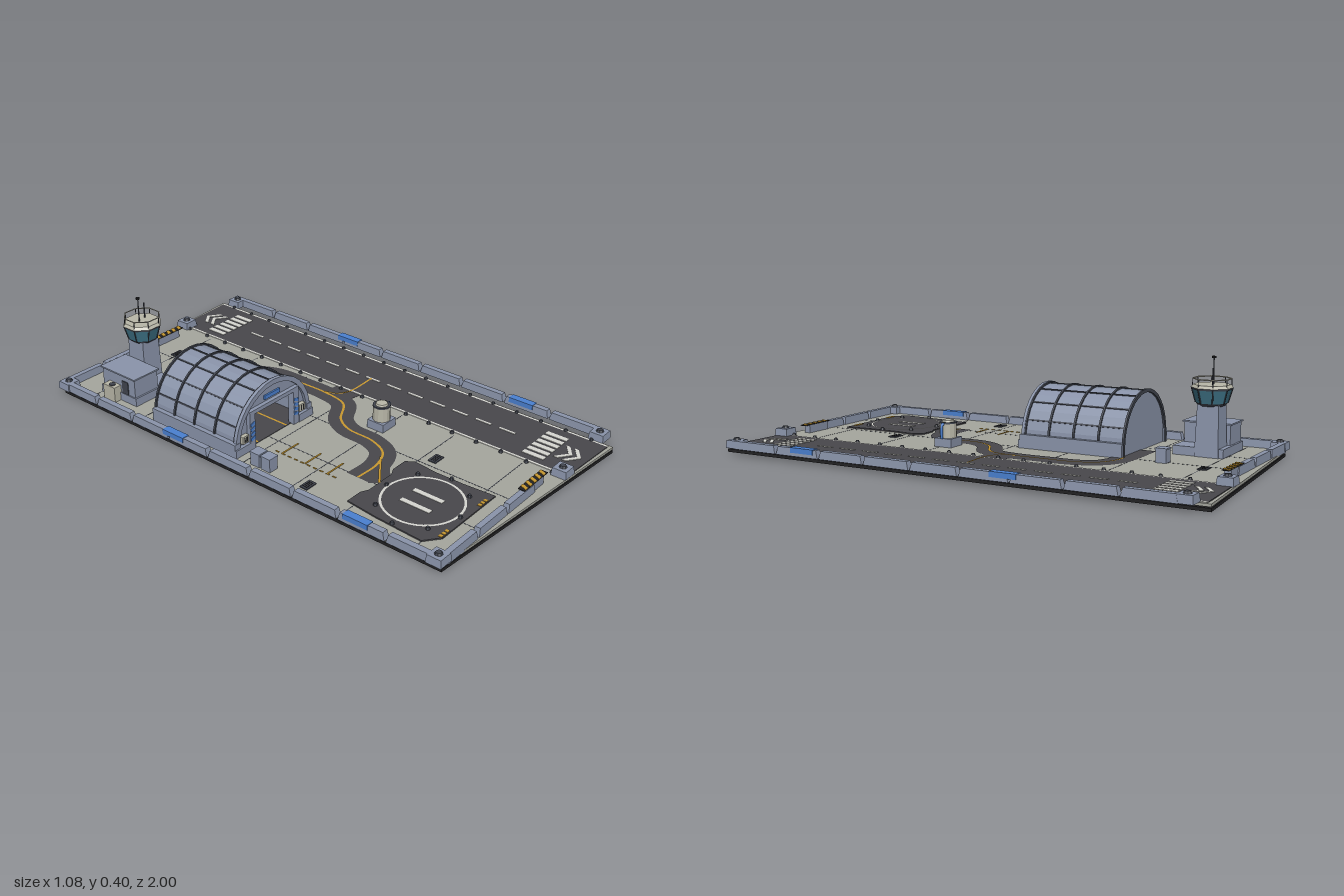
import * as THREE from 'three';

const mat = (name, color) => Object.assign(new THREE.MeshStandardMaterial({ color }), { name });
const concrete = mat('concrete', 0xa5a69e), asphalt = mat('asphalt', 0x48474c), panel = mat('greyBluePanel', 0x8a94aa);
const dark = mat('underside', 0x222224), white = mat('whitePaint', 0xd6d6d0), yellow = mat('yellowPaint', 0xc8982f);
const blue = mat('blueAccent', 0x4a80d0), glass = mat('glass', 0x3f7488), beige = mat('beige', 0xb9b7a8), steel = mat('darkSteel', 0x41454f);

export function createModel() {
  const root = new THREE.Group();
  let parent = root;
  const add = (name, geo, m, x = 0, y = 0, z = 0) => {
    const mesh = new THREE.Mesh(geo, m);
    mesh.name = name;
    mesh.position.set(x, y, z);
    parent.add(mesh);
    return mesh;
  };
  const group = (name, build) => {
    const g = new THREE.Group();
    g.name = name;
    root.add(g);
    parent = g;
    build();
    parent = root;
  };
  // Box given by its limits
  const box = (name, m, x0, x1, y0, y1, z0, z1) =>
    add(name, new THREE.BoxGeometry(x1 - x0, y1 - y0, z1 - z0), m, (x0 + x1) / 2, (y0 + y1) / 2, (z0 + z1) / 2);
  // Box whose top is drawn in by dx, dz on each side
  const taper = (name, m, x, z, w, d, y0, y1, dx, dz) => {
    const g = new THREE.BoxGeometry(w, y1 - y0, d).toNonIndexed(), p = g.attributes.position;
    for (let i = 0; i < p.count; i++) if (p.getY(i) > 0) {
      p.setX(i, p.getX(i) - Math.sign(p.getX(i)) * dx);
      p.setZ(i, p.getZ(i) - Math.sign(p.getZ(i)) * dz);
    }
    g.computeVertexNormals();
    return add(name, g, m, x, (y0 + y1) / 2, z);
  };
  const cyl = (name, m, x, z, r0, r1, y0, y1, sides = 8) => {
    const g = new THREE.CylinderGeometry(r1, r0, y1 - y0, sides).rotateY(Math.PI / sides).toNonIndexed();
    g.computeVertexNormals();
    return add(name, g, m, x, (y0 + y1) / 2, z);
  };
  // Flat slab from an x, z outline
  const slab = (name, m, pts, y0, y1) => {
    const s = new THREE.Shape(pts.map(([x, z]) => new THREE.Vector2(x, -z)));
    return add(name, new THREE.ExtrudeGeometry(s, { depth: y1 - y0, bevelEnabled: false }).rotateX(-Math.PI / 2), m, 0, y0, 0);
  };
  // Flat strip following a path on the ground
  const ribbon = (name, m, pts, w, y, n = 60) => {
    const c = new THREE.CatmullRomCurve3(pts.map(([x, z]) => new THREE.Vector3(x, y, z)), false, 'centripetal');
    const pos = [], idx = [];
    for (let i = 0; i <= n; i++) {
      const p = c.getPoint(i / n), t = c.getTangent(i / n).multiplyScalar(w / 2);
      pos.push(p.x + t.z, y, p.z - t.x, p.x - t.z, y, p.z + t.x);
      const a = i * 2;
      if (i < n) idx.push(a, a + 1, a + 3, a, a + 3, a + 2);
    }
    const g = new THREE.BufferGeometry();
    g.setAttribute('position', new THREE.Float32BufferAttribute(pos, 3));
    g.setIndex(idx);
    g.computeVertexNormals();
    add(name, g, m);
  };
  const G = 0.026; // ground level
  const mark = (name, m, x0, x1, z0, z1, y = G + 0.005) => box(name, m, x0, x1, y - 0.002, y, z0, z1);
  const lamp = (x, z, y = G) => cyl('markerLamp', steel, x, z, 0.009, 0.006, y, y + 0.01, 6);

  group('ground', () => {
    const outline = [[-0.52, 0.925], [0.48, 1], [0.48, -1], [-0.52, -0.925]];
    slab('underside', dark, outline, 0, 0.012);
    slab('pavement', concrete, outline, 0.016, G);
    for (const z of [-0.78, -0.5, -0.23, 0.02, 0.26, 0.5, 0.8]) mark('joint', steel, -0.5, 0.17, z - 0.0015, z + 0.0015, G + 0.0005);
    for (const x of [-0.28, -0.06]) mark('joint', steel, x - 0.0015, x + 0.0015, -0.9, 0.9, G + 0.0005);
    for (const [x, z] of [[-0.02, -0.785], [-0.01, 0.545], [-0.44, 0.3]]) {
      box('drainFrame', steel, x - 0.027, x + 0.027, G, G + 0.004, z - 0.017, z + 0.017);
      for (const d of [-0.008, 0, 0.008]) mark('drainSlot', dark, x - 0.02, x + 0.02, z + d - 0.002, z + d + 0.002, G + 0.005);
    }
  });

  group('runway', () => {
    slab('runwaySurface', asphalt, [[0.2, 0.972], [0.463, 0.985], [0.463, -0.985], [0.2, -0.972]], G - 0.002, G + 0.003);
    mark('edgeLine', white, 0.19, 0.2, -0.97, 0.97, G + 0.003);
    mark('edgeLine', white, 0.463, 0.474, -0.985, 0.985, G + 0.003);
    for (let i = 0; i < 13; i++) mark('centreDash', white, 0.32, 0.33, -0.68 + i * 0.107, -0.61 + i * 0.107);
    for (const s of [-1, 1]) {
      for (let i = 0; i < 6; i++) {
        const x = 0.241 + i * 0.0335, z = s * 0.805;
        mark('thresholdBar', white, x - 0.011, x + 0.011, z - 0.045, z + 0.045);
      }
      for (const z of [0.935, 0.9]) {
        const v = [[-0.048, z - 0.035], [0, z], [0.048, z - 0.035], [0.048, z - 0.018], [0, z + 0.017], [-0.048, z - 0.018]];
        slab('chevron', white, v.map(([x, q]) => [0.325 + x, s * q]), G + 0.003, G + 0.005);
      }
    }
    for (let i = 0; i < 18; i++) for (const x of [0.183, 0.469]) lamp(x, -0.92 + i * 0.108);
  });

  group('taxiway', () => {
    const path = [[-0.05, -0.46], [0.0, -0.455], [0.07, -0.42], [0.11, -0.34], [0.115, -0.2], [0.115, -0.08], [0.09, 0.03],
      [-0.01, 0.1], [-0.05, 0.17], [-0.06, 0.29], [-0.1, 0.37], [-0.18, 0.405], [-0.29, 0.405]];
    ribbon('taxiSurface', asphalt, [[-0.235, -0.46], ...path], 0.1, G + 0.002, 110);
    ribbon('taxiLine', yellow, path, 0.009, G + 0.004, 110);
    slab('runwayLink', asphalt, [[0.1, 0.04], [0.21, 0.07], [0.21, -0.11], [0.13, -0.11]].map(([x, z]) => [x, z * 0.7 - 0.01]), G - 0.002, G + 0.001);
    ribbon('runwayLinkLine', yellow, [[0.115, -0.09], [0.135, -0.04], [0.18, -0.012], [0.325, -0.01]], 0.008, G + 0.006, 24);
    ribbon('padLink', asphalt, [[-0.15, 0.39], [-0.27, 0.485]], 0.08, G + 0.0015, 2);
    ribbon('padLinkLine', yellow, [[-0.13, 0.385], [-0.18, 0.42], [-0.27, 0.485]], 0.009, G + 0.005, 12);
    for (const z of [0.09, 0.2, 0.305]) mark('parkingLine', yellow, -0.34, -0.25, z - 0.003, z + 0.003, G + 0.003);
    for (let i = 0; i < 10; i++) mark('parkingDash', yellow, -0.343, -0.338, 0.06 + i * 0.03, 0.075 + i * 0.03, G + 0.003);
  });

  group('landingPad', () => {
    const cx = -0.267, cz = 0.66;
    slab('padSurface', asphalt, [[-0.43, 0.47], [-0.36, 0.47], [-0.33, 0.485], [-0.2, 0.485], [-0.17, 0.47], [-0.1, 0.47], [-0.077, 0.5],
      [-0.088, 0.6], [-0.088, 0.72], [-0.08, 0.845], [-0.4, 0.845], [-0.457, 0.8], [-0.445, 0.6]].reverse(), G - 0.002, G + 0.005);
    add('padRing', new THREE.RingGeometry(0.143, 0.152, 40).rotateX(-Math.PI / 2), white, cx, G + 0.0065, cz + 0.01);
    // Twin landing bars
    for (const s of [-1, 1]) mark('landingBar', white, cx + s * 0.038 - 0.01, cx + s * 0.038 + 0.01, cz - 0.055, cz + 0.07, G + 0.0065);
    for (let i = 0; i < 8; i++) lamp(cx + 0.175 * Math.cos(i * Math.PI / 4), cz + 0.01 + 0.155 * Math.sin(i * Math.PI / 4), G + 0.005);
    for (const x of [-0.378, -0.145]) for (let i = -1; i < 2; i++) mark('padStripe', yellow, x + i * 0.018 - 0.006, x + i * 0.018 + 0.006, 0.828, 0.842, G + 0.007);
  });

  group('perimeterWall', () => {
    for (let i = 0; i < 9; i++) for (const x of [-0.521, 0.52]) {
      const z = -0.812 + i * 0.203;
      taper('wallSegment', panel, x, z, 0.03, 0.197, 0.027, 0.058, 0.003, 0.008);
    }
    for (const x of [-0.521, 0.52]) for (const z of [-0.28, 0.585]) box('bluePlate', blue, x - 0.016, x + 0.016, 0.04, 0.06, z - 0.053, z + 0.053);
    for (const s of [-1, 1]) {
      for (let i = 0; i < 3; i++) taper('endWallSegment', panel, -0.41 + i * 0.18, s * 0.92, 0.175, 0.028, G - 0.005, 0.058, 0.008, 0.003);
      taper('gateWall', panel, 0.04, s * 0.915, 0.12, 0.026, G, 0.058, 0, 0);
      // Hazard plate
      box('hazardPlate', dark, -0.03, 0.125, 0.058, 0.061, s * 0.915 - 0.014, s * 0.915 + 0.014);
      for (let i = 0; i < 5; i++) {
        const x = -0.024 + i * 0.03, z = s * 0.915;
        slab('hazardStripe', yellow, [[x, z + 0.014], [x + 0.015, z + 0.014], [x + 0.027, z - 0.014], [x + 0.012, z - 0.014]], 0.061, 0.063);
      }
      for (const [x, z] of [[-0.51, 0.905], [0.195, 0.95], [0.503, 0.93]]) {
        taper('cornerBlock', panel, x, s * z, 0.062, 0.062, 0.028, 0.058, 0.003, 0.003);
        cyl('cornerLamp', steel, x, s * z, 0.015, 0.011, 0.058, 0.066);
      }
    }
  });

  group('hangar', () => {
    const cx = -0.26, base = 0.058, N = 16;
    const arc = (r) => [[r, G], ...Array.from({ length: N + 1 }, (_, i) => [r * Math.cos(i * Math.PI / N), base + r * Math.sin(i * Math.PI / N)]), [-r, G]]
      .map(([x, y]) => new THREE.Vector2(x, y));
    const arch = (name, m, pts, z0, z1, holes = []) => {
      const s = new THREE.Shape(pts);
      s.holes = holes;
      add(name, new THREE.ExtrudeGeometry(s, { depth: z1 - z0, bevelEnabled: false }), m, cx, 0, z0);
    };
    const ring = (name, m, r0, r1, z0, z1) => arch(name, m, [...arc(r1), ...arc(r0).reverse()], z0, z1);
    ring('shell', panel, 0.188, 0.198, -0.445, -0.025);
    for (const z of [-0.45, -0.347, -0.242, -0.137, -0.034]) ring('rib', steel, 0.19, 0.204, z - 0.004, z + 0.004);
    ring('frontRim', panel, 0.186, 0.206, -0.032, -0.02);
    for (let i = 1; i < 8; i++) {
      const a = i * Math.PI / 8;
      const p = add('purlin', new THREE.BoxGeometry(0.006, 0.006, 0.42), steel, cx + 0.198 * Math.cos(a), base + 0.198 * Math.sin(a), -0.236);
      p.rotation.z = a;
    }
    arch('backWall', panel, arc(0.19), -0.445, -0.435);
    // Front wall with the open doorway cut out of its foot
    const o = arc(0.19), door = [[-0.107, G], [-0.107, 0.168], [0.107, 0.168], [0.107, G]].map(([x, y]) => new THREE.Vector2(x, y));
    arch('frontWall', panel, [...o, ...door], -0.043, -0.032);
    mark('hangarFloor', asphalt, cx - 0.185, cx + 0.185, -0.43, -0.03, G + 0.003);
    for (const s of [-1, 1]) {
      const x = cx + s * 0.121;
      box('doorPost', panel, x - 0.014, x + 0.014, G, 0.182, -0.034, -0.015);
      for (let i = 0; i < 4; i++) {
        const b = box('blueDoorStripe', blue, x - 0.012, x + 0.012, 0.065 + i * 0.02, 0.077 + i * 0.02, -0.016, -0.0125);
        b.rotation.z = -s * 0.35;
      }
      box('foundation', panel, cx + s * 0.201 - 0.014, cx + s * 0.201 + 0.014, G, 0.08, -0.452, -0.018);
      box('frontFooting', panel, cx + s * 0.175 - 0.04, cx + s * 0.175 + 0.04, G, 0.058, -0.03, -0.012);
      box('wallUnit', beige, cx + s * 0.158 - 0.016, cx + s * 0.158 + 0.016, 0.066, 0.096, -0.034, -0.016);
      for (const d of [-0.006, 0.006]) box('unitSlot', dark, cx + s * 0.158 + d - 0.003, cx + s * 0.158 + d + 0.003, 0.071, 0.091, -0.018, -0.0145);
      ribbon('floorLine', yellow, [[cx + s * 0.08, -0.4], [cx + s * 0.08, -0.03]], 0.008, G + 0.005, 2);
    }
    box('doorLintel', panel, cx - 0.135, cx + 0.135, 0.168, 0.184, -0.034, -0.015);
    box('bluePlaque', blue, cx - 0.041, cx + 0.041, 0.194, 0.21, -0.034, -0.025);
  });

  group('controlTower', () => {
    const x = -0.267, z = -0.715;
    box('platform', panel, -0.445, -0.225, G, 0.06, -0.78, -0.58);
    box('annex', panel, -0.44, -0.32, 0.06, 0.137, -0.772, -0.588);
    box('annexRoof', panel, -0.446, -0.314, 0.137, 0.143, -0.778, -0.582);
    box('annexDoor', steel, -0.443, -0.44, 0.06, 0.115, -0.66, -0.625);
    box('airUnit', beige, -0.475, -0.44, G, 0.09, -0.735, -0.67);
    cyl('airFan', steel, -0.458, -0.7, 0.013, 0.013, 0.09, 0.093, 12);
    taper('shaft', panel, x, z, 0.095, 0.095, G, 0.222, 0.006, 0.006);
    cyl('cabFloor', steel, x, z, 0.05, 0.06, 0.217, 0.228);
    cyl('cabGlass', glass, x, z, 0.06, 0.074, 0.228, 0.278);
    cyl('roofEdge', steel, x, z, 0.077, 0.079, 0.278, 0.285);
    cyl('roof', beige, x, z, 0.079, 0.07, 0.285, 0.296);
    for (let i = 0; i < 8; i++) {
      const a = (i + 0.5) * Math.PI / 4, c = Math.cos(a), s = Math.sin(a);
      const path = new THREE.LineCurve3(new THREE.Vector3(x + 0.06 * c, 0.228, z + 0.06 * s), new THREE.Vector3(x + 0.075 * c, 0.28, z + 0.075 * s));
      add('mullion', new THREE.TubeGeometry(path, 1, 0.003, 4), steel);
      cyl('railPost', steel, x + 0.072 * c, z + 0.072 * s, 0.0018, 0.0018, 0.285, 0.318, 4);
    }
    add('rail', new THREE.TorusGeometry(0.072, 0.0025, 4, 8).rotateX(Math.PI / 2).rotateY(Math.PI / 8), beige, x, 0.318, z);
    cyl('antenna', steel, -0.281, z, 0.003, 0.002, 0.296, 0.395, 6);
    cyl('antennaTip', dark, -0.281, z, 0.008, 0.008, 0.393, 0.4, 8);
    cyl('shortAntenna', steel, -0.241, z - 0.012, 0.003, 0.003, 0.296, 0.36, 6);
  });

  group('fuelStation', () => {
    box('pedestal', panel, 0.013, 0.093, G, 0.06, 0.21, 0.285);
    cyl('tank', beige, 0.052, 0.248, 0.034, 0.034, 0.06, 0.118, 12);
    cyl('tankRim', steel, 0.052, 0.248, 0.035, 0.035, 0.116, 0.122, 12);
    cyl('tankCap', beige, 0.052, 0.248, 0.025, 0.022, 0.122, 0.129, 12);
    const hose = [[0.075, 0.115], [0.092, 0.114], [0.096, 0.1], [0.096, 0.06]].map(([x, y]) => new THREE.Vector3(x, y, 0.25));
    add('bluePipe', new THREE.TubeGeometry(new THREE.CatmullRomCurve3(hose), 12, 0.006, 6), blue);
  });

  group('crates', () => {
    for (const [x, z] of [[-0.06, -0.61], [-0.445, 0.07], [-0.445, 0.122]]) {
      box('crate', panel, x - 0.021, x + 0.021, G, 0.078, z - 0.021, z + 0.021);
      box('crateLid', panel, x - 0.023, x + 0.023, 0.075, 0.081, z - 0.023, z + 0.023);
    }
  });
  return root;
}
